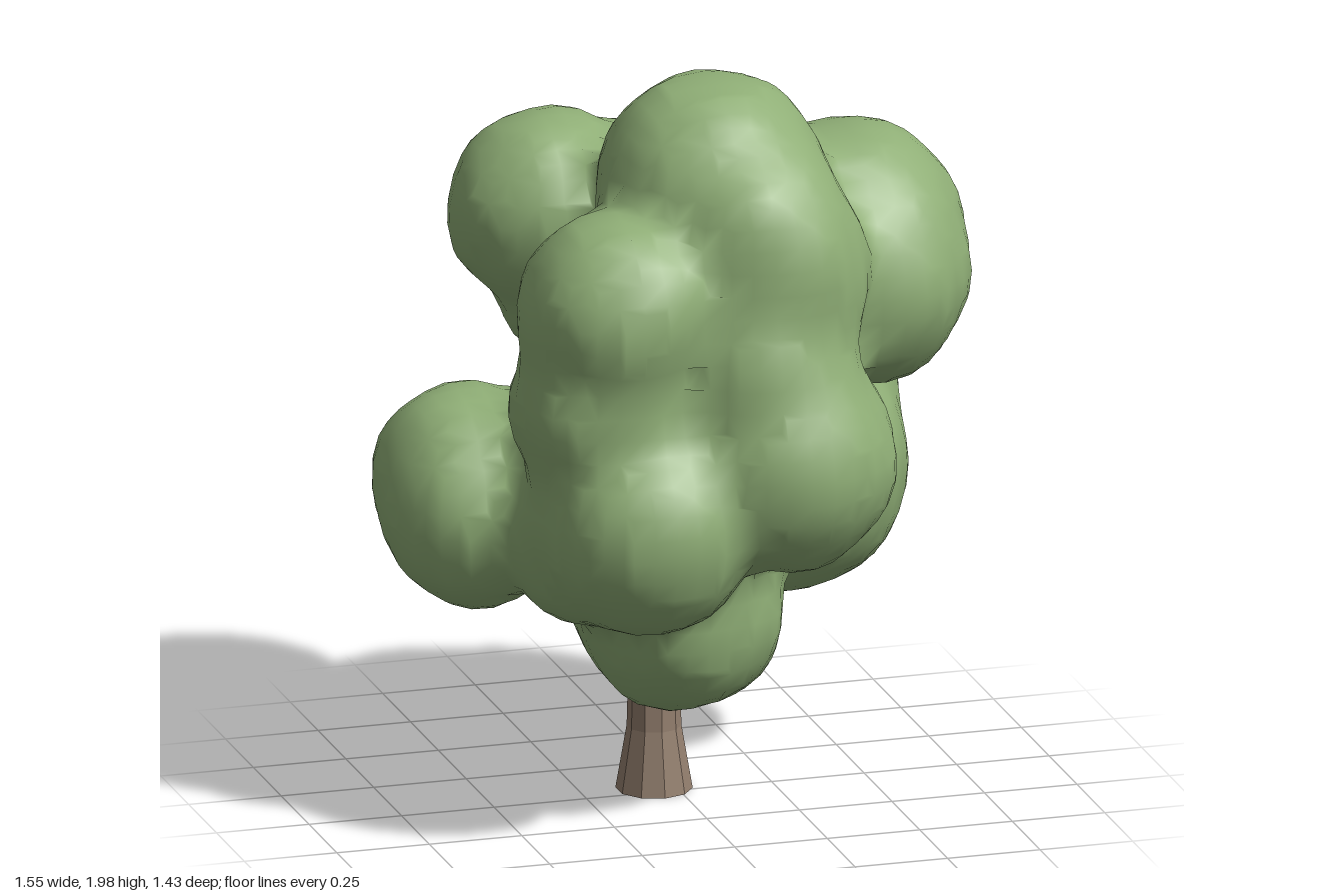
import * as THREE from 'three';

// Leaf clumps: x, y, z, radius
const CLUMPS = [
  [0, 1.07, 0, 0.38], [0.02, 0.82, 0.08, 0.3], [-0.29, 0.9, 0.05, 0.25],          // core
  [0.04, 1.69, 0.16, 0.3], [0.1, 1.6, 0.32, 0.26], [0.13, 1.47, 0.31, 0.28], [0.08, 1.62, -0.02, 0.28], // crown
  [0.46, 1.47, -0.02, 0.3], [0.46, 1.38, 0.06, 0.29],                              // upper left
  [-0.25, 1.5, -0.36, 0.26], [-0.03, 1.46, -0.42, 0.23], [-0.15, 1.29, -0.38, 0.22], // upper back
  [-0.26, 1.43, 0.34, 0.27], [-0.3, 1.17, 0.33, 0.25],                             // upper front right
  [0.34, 0.79, -0.21, 0.33], [0.37, 0.96, -0.33, 0.31], [0.2, 0.89, -0.44, 0.28],  // lower back left
  [-0.54, 0.87, -0.1, 0.25], [-0.54, 0.78, -0.02, 0.23],                           // lower right
  [0.15, 1.02, 0.41, 0.3], [0.1, 1.25, 0.38, 0.26],                                // front
  [-0.21, 0.87, 0.41, 0.29], [-0.3, 0.8, 0.25, 0.24],                              // lower front right
  [-0.03, 0.54, 0.12, 0.27], [-0.05, 0.62, -0.02, 0.27],                           // underside
];

// Signed distance to the softly merged clumps, with slight lumpiness
function canopyDistance(x, y, z) {
  const k = 0.06;
  let d = 10;
  for (const [cx, cy, cz, r] of CLUMPS) {
    const s = Math.hypot(x - cx, y - cy, z - cz) - r;
    const h = Math.max(k - Math.abs(d - s), 0) / k;
    d = Math.min(d, s) - h * h * k * 0.25;
  }
  return d + 0.009 * Math.sin(17 * x + 1) * Math.sin(15 * y) * Math.sin(16 * z + 2);
}

// Pull a point onto the canopy surface along the distance gradient
function snapToSurface(p) {
  const e = 0.004;
  for (let i = 0; i < 4; i++) {
    const d = canopyDistance(p.x, p.y, p.z);
    const g = new THREE.Vector3(
      canopyDistance(p.x + e, p.y, p.z) - canopyDistance(p.x - e, p.y, p.z),
      canopyDistance(p.x, p.y + e, p.z) - canopyDistance(p.x, p.y - e, p.z),
      canopyDistance(p.x, p.y, p.z + e) - canopyDistance(p.x, p.y, p.z - e),
    ).normalize();
    p.addScaledVector(g, -d);
  }
  return p;
}

// One skin around all clumps: a quad wherever a grid edge crosses the surface
function canopyGeometry() {
  const cell = 0.06, n = 34;
  const origin = [-1.02, 0.1, -1.02];
  const at = (i, axis) => origin[axis] + i * cell;
  const inside = new Uint8Array(n * n * n);
  const id = (c) => (c[0] * n + c[1]) * n + c[2];
  for (let i = 0; i < n; i++)
    for (let j = 0; j < n; j++)
      for (let k = 0; k < n; k++)
        inside[id([i, j, k])] = canopyDistance(at(i, 0), at(j, 1), at(k, 2)) < 0 ? 1 : 0;

  const positions = [], index = [], known = new Map();
  const vertex = (c) => {
    const key = id(c);
    if (!known.has(key)) {
      const p = snapToSurface(new THREE.Vector3(...c.map((v, a) => at(v + 0.5, a))));
      known.set(key, positions.length / 3);
      positions.push(p.x, p.y, p.z);
    }
    return known.get(key);
  };
  for (let i = 1; i < n - 1; i++)
    for (let j = 1; j < n - 1; j++)
      for (let k = 1; k < n - 1; k++)
        for (let a = 0; a < 3; a++) {
          const here = [i, j, k], next = [i, j, k];
          next[a]++;
          const solid = inside[id(here)];
          if (solid === inside[id(next)]) continue;
          const b = (a + 1) % 3, c = (a + 2) % 3;
          const q = [[-1, -1], [0, -1], [0, 0], [-1, 0]].map(([u, v]) => {
            const corner = [i, j, k];
            corner[b] += u;
            corner[c] += v;
            return vertex(corner);
          });
          if (!solid) q.reverse();
          index.push(q[0], q[1], q[2], q[0], q[2], q[3]);
        }
  const geometry = new THREE.BufferGeometry();
  geometry.setAttribute('position', new THREE.Float32BufferAttribute(positions, 3));
  geometry.setIndex(index);
  geometry.computeVertexNormals();
  return geometry;
}

export function createModel() {
  const leafGreen = new THREE.MeshStandardMaterial({ color: 0x8fae76 });
  leafGreen.name = 'leafGreen';
  const barkBrown = new THREE.MeshStandardMaterial({ color: 0x937f6e, flatShading: true });
  barkBrown.name = 'barkBrown';

  const tree = new THREE.Group();
  tree.name = 'tree';

  const canopy = new THREE.Mesh(canopyGeometry(), leafGreen);
  canopy.name = 'canopy';
  tree.add(canopy);

  // Flared trunk with a closed foot, running up into the leaves
  const profile = [[0, 0], [0.1, 0], [0.071, 0.17], [0.065, 0.4], [0.05, 0.6], [0, 0.6]];
  const trunk = new THREE.Mesh(
    new THREE.LatheGeometry(profile.map(([r, y]) => new THREE.Vector2(r, y)), 10), barkBrown);
  trunk.name = 'trunk';
  trunk.position.set(-0.055, 0, -0.042);
  tree.add(trunk);

  return tree;
}
